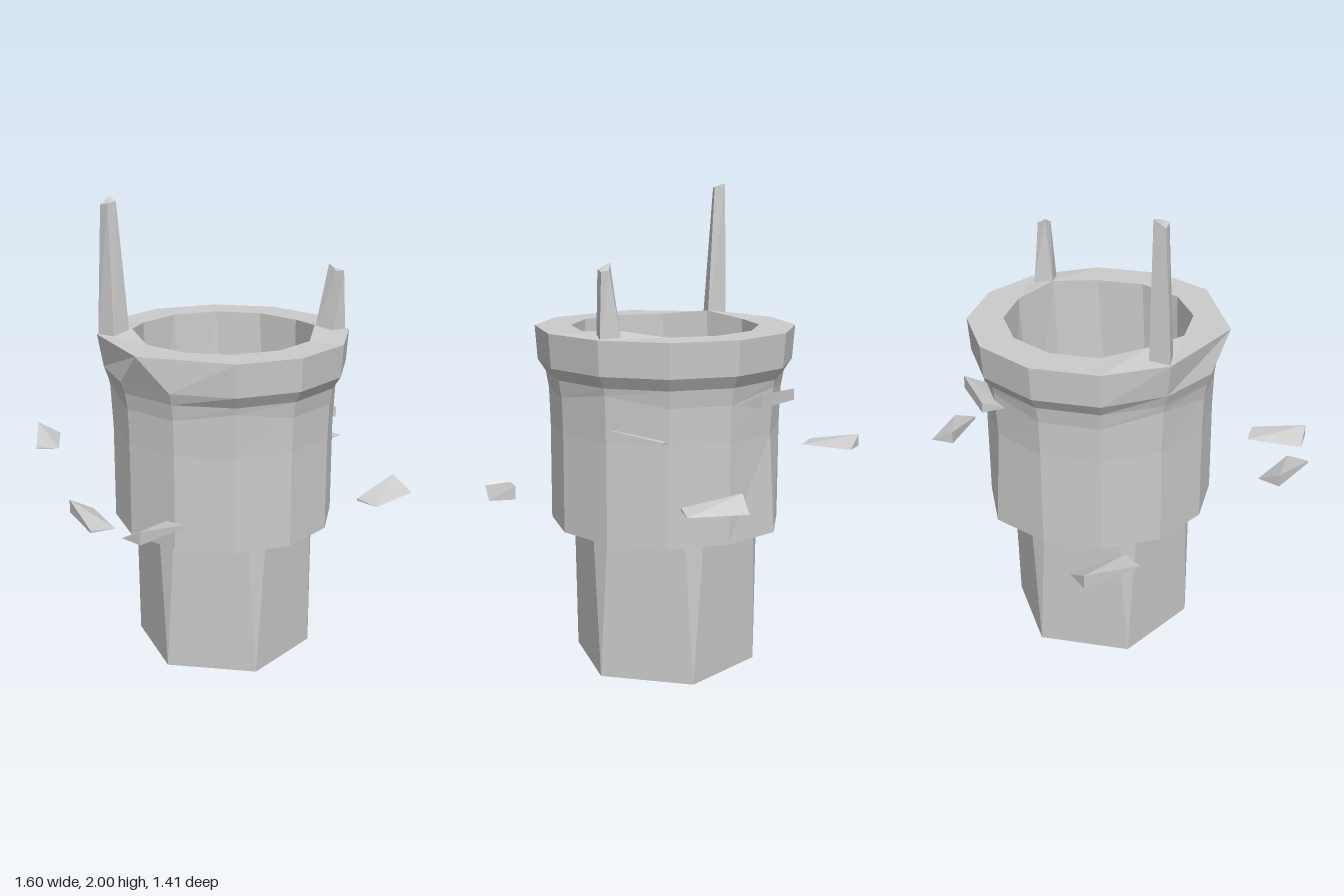
import * as THREE from 'three';

const CX = 0.04, CZ = -0.115;            // axis of the body
const rad = THREE.MathUtils.degToRad;
const material = new THREE.MeshStandardMaterial({ color: 0xcccccc, flatShading: true });

// Point on a circle round the body axis; angle runs from +x towards +z
const polar = (r, deg, y) => [CX + r * Math.cos(rad(deg)), y, CZ + r * Math.sin(rad(deg))];

// Skin a list of closed rings that all have the same number of points
function loft(name, rings) {
  const n = rings[0].length, index = [];
  for (let i = 0; i < rings.length - 1; i++) {
    for (let k = 0; k < n; k++) {
      const a = i * n + k, b = i * n + (k + 1) % n;
      index.push(a, a + n, b, b, a + n, b + n);
    }
  }
  const g = new THREE.BufferGeometry();
  g.setAttribute('position', new THREE.Float32BufferAttribute(rings.flat(2), 3));
  g.setIndex(index);
  g.computeVertexNormals();
  const mesh = new THREE.Mesh(g, material);
  mesh.name = name;
  return mesh;
}

const ring = (n, fn) => Array.from({ length: n }, (_, k) => fn(k));
const point = (n, p) => ring(n, () => p);

// Hexagonal base whose corners split into narrow bevels towards the top
function makeBase() {
  const corner = k => 14 + 60 * Math.floor(k / 2);
  return loft('base', [
    point(12, [CX, 0, CZ]),
    ring(12, k => polar(0.39, corner(k), 0)),
    ring(12, k => polar(0.39, corner(k) + (k % 2 ? 6 : -6), 0.62)),
    point(12, [CX, 0.62, CZ]),
  ]);
}

// Twelve-sided hollow cup with a flared lip
function makeCup() {
  const outer = [[0.48, 0.61], [0.48, 1.02], [0.485, 1.17], [0.497, 1.24], [0.53, 1.29], [0.54, 1.43]];
  const rings = [point(12, [CX, 0.61, CZ])];
  outer.forEach(([r, y], i) => rings.push(ring(12, k => {
    // chipped corner: two rim points meet
    if (i === 5 && (k === 4 || k === 5)) return polar(0.548, 135, y);
    // battered wall below the chip
    if (i === 4 && k >= 4 && k <= 6) return polar(0.515, 30 * k, y);
    if (i === 2 && k % 3 === 0) return polar(r + 0.005, 30 * k, y + 0.04);
    // lower back edge bends outwards
    if (i === 0 && k === 9) return polar(0.505, 270, y);
    return polar(r, 30 * k, y);
  })));
  rings.push(
    ring(12, k => polar(0.39, 30 * k, k % 6 ? 1.43 : 1.45)),
    ring(12, k => polar(0.375, 30 * k + 6, 0.64)),
    point(12, [CX, 0.64, CZ]),
  );
  return loft('cup', rings);
}

// Tapered diamond-section spike with a slanted broken tip
function makeSpike(name, x, tip) {
  const y = 1.43, z = CZ;
  const base = [[x + 0.066, y, z], [x, y, z + 0.055], [x - 0.066, y, z], [x, y, z - 0.055]];
  const mid = [0, 1, 2].map(a => tip.reduce((s, p) => s + p[a], 0) / 4);
  return loft(name, [point(4, [x, y, z]), base, tip, point(4, mid)]);
}

// Thin wedge: one raised corner at (x, z), the plate slopes away from it
function makeShard(name, x, y, z, deg, h = 0.055, end = 0.01) {
  const c = Math.cos(rad(deg)), s = Math.sin(rad(deg)), W = 0.102, L = 0.237;
  const at = (u, v, dy) => [x + u * c - v * s, y + dy, z + u * s + v * c];
  const peak = at(0, 0, h);
  return loft(name, [
    point(4, at(0, 0, 0)),
    [at(0, 0, 0), at(W, 0, 0), at(W, L, 0), at(0, L, 0)],
    [peak, at(W, 0, 0), at(W, L, 0), at(0, L, end)],
    point(4, peak),
  ]);
}

export function createModel() {
  const model = new THREE.Group();
  model.name = 'brokenTower';
  model.add(makeBase(), makeCup());

  model.add(
    makeSpike('tallSpike', -0.428, [
      [-0.405, 1.985, -0.12], [-0.44, 1.98, -0.095], [-0.47, 1.97, -0.13], [-0.43, 2.0, -0.158]]),
    makeSpike('shortSpike', 0.497, [
      [0.55, 1.685, -0.115], [0.51, 1.69, -0.075], [0.485, 1.715, -0.115], [0.52, 1.69, -0.132]]),
  );

  // Floating shards round the cup
  const shards = [
    [-0.8, -0.68, 0], [0.408, -0.645, -40], [0.733, 0.168, 50], [-0.623, 0.347, -21], [-0.35, 0.703, 228],
  ];
  shards.forEach(([x, z, deg], i) => model.add(makeShard('shard' + (i + 1), x, 0.81, z, deg)));

  // Shards stuck in the wall
  model.add(
    makeShard('backShard', 0.235, 1.16, -0.645, 98, 0.055, 0.045),
    makeShard('sideShard', 0.535, 1.035, -0.12, 172, 0.045, 0.01),
  );
  return model;
}
